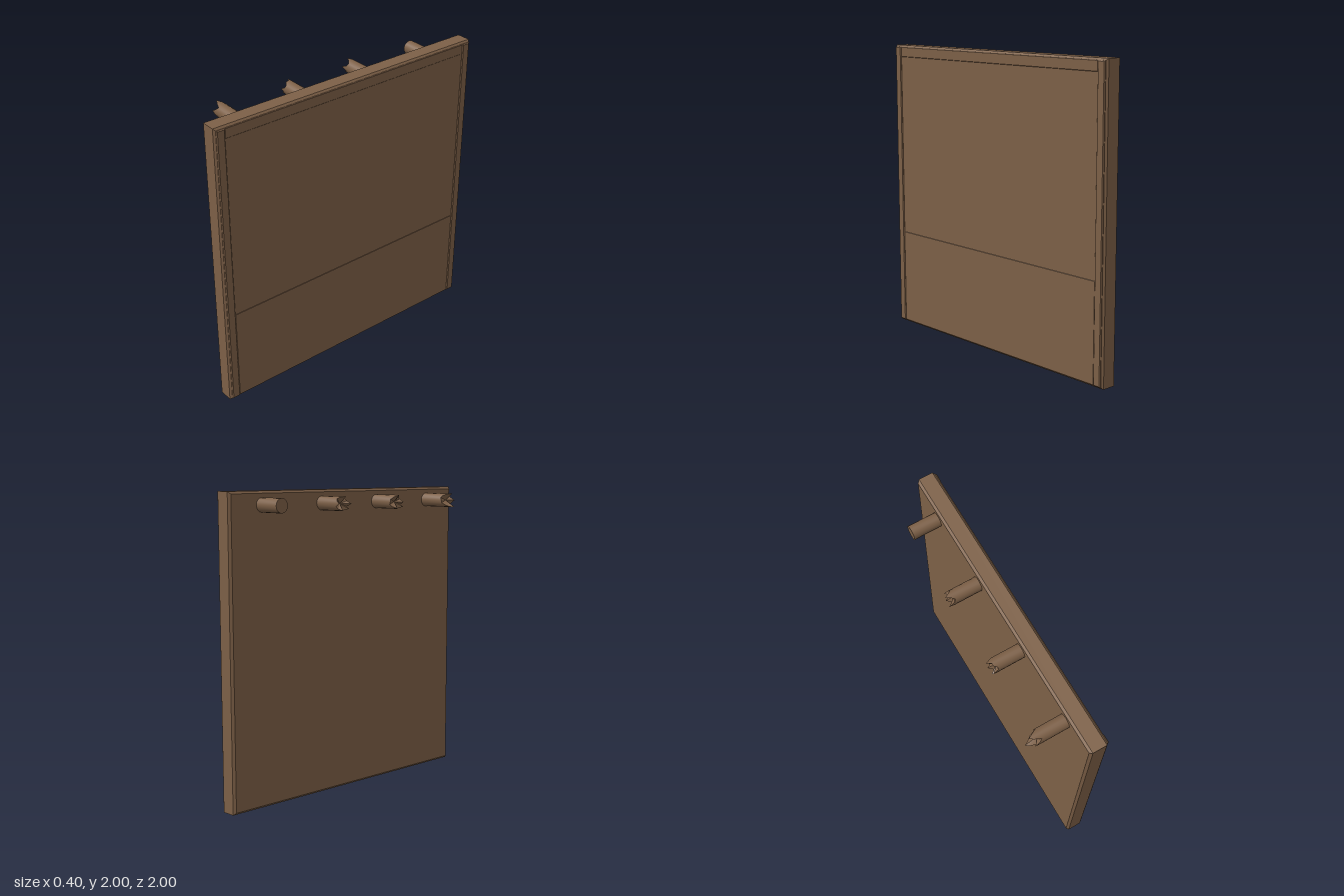
import * as THREE from 'three';
import { toCreasedNormals } from 'three/addons/utils/BufferGeometryUtils.js';

const wood = new THREE.MeshStandardMaterial({ color: 0x7d6047 });
wood.name = 'brown wood';

// Chamfered block spanning the given x, y and z ranges
function block(name, x0, x1, y0, y1, z0, z1, bevel) {
  const a = z0 + bevel, b = z1 - bevel, c = y0 + bevel, d = y1 - bevel;
  const shape = new THREE.Shape([
    new THREE.Vector2(-b, c), new THREE.Vector2(-a, c),
    new THREE.Vector2(-a, d), new THREE.Vector2(-b, d),
  ]);
  const geo = new THREE.ExtrudeGeometry(shape, {
    depth: x1 - x0 - 2 * bevel, bevelEnabled: true,
    bevelSize: bevel, bevelThickness: bevel, bevelSegments: 1,
  });
  geo.rotateY(Math.PI / 2);
  geo.translate(x0 + bevel, 0, 0);
  const mesh = new THREE.Mesh(geo, wood);
  mesh.name = name;
  return mesh;
}

// Round peg pointing to -x; reach gives the end position around the rim,
// starting at +z and turning upward; core is the middle of the broken end
function peg(name, z, reach, core) {
  const sides = 16, radius = 0.046, root = 0.08;
  let geo = new THREE.CylinderGeometry(radius, radius, 1, sides);
  geo.rotateZ(Math.PI / 2);
  const p = geo.attributes.position;
  for (let i = 0; i < p.count; i++) {
    const y = p.getY(i), zz = p.getZ(i);
    if (p.getX(i) > 0) { p.setX(i, root); continue; }
    const step = Math.round(Math.atan2(y, zz) / (2 * Math.PI) * sides);
    const k = (step + sides) % sides;
    p.setX(i, Math.hypot(y, zz) < 0.01 ? core : reach[k % reach.length]);
  }
  geo = toCreasedNormals(geo, 0.6);
  const mesh = new THREE.Mesh(geo, wood);
  mesh.name = name;
  mesh.position.set(0, 1.914, z);
  return mesh;
}

export function createModel() {
  const group = new THREE.Group();
  group.name = 'woodenPanel';

  // Main slab
  group.add(block('slab', 0.065, 0.188, 0, 2, -1, 1, 0.015));

  // Raised border on the +x face
  for (const s of [-1, 1]) {
    const [a, b] = s > 0 ? [0.93, 0.988] : [-0.988, -0.93];
    group.add(block(s > 0 ? 'frontStile' : 'backStile', 0.175, 0.195, 0.012, 1.988, a, b, 0.006));
  }
  group.add(block('topRail', 0.175, 0.191, 1.92, 1.988, -0.93, 0.93, 0.003));

  // Lower board, barely proud of the slab
  group.add(block('lowerBoard', 0.175, 0.19, 0.014, 0.67, -0.93, 0.93, 0.002));

  // Pegs on the -x face: one cut clean, three splintered
  group.add(peg('cleanPeg', -0.745, [-0.12], -0.12));
  group.add(peg('splinteredPegA', -0.25,
    [-0.16, -0.12, -0.11, -0.13, -0.16, -0.13, -0.11, -0.12,
      -0.145, -0.11, -0.12, -0.15, -0.13, -0.11, -0.15, -0.12], -0.1));
  group.add(peg('splinteredPegB', 0.245,
    [-0.145, -0.11, -0.11, -0.13, -0.13, -0.16, -0.13, -0.11,
      -0.11, -0.1, -0.12, -0.15, -0.13, -0.11, -0.15, -0.12], -0.1));
  group.add(peg('splinteredPegC', 0.74,
    [-0.16, -0.13, -0.11, -0.15, -0.18, -0.15, -0.12, -0.11,
      -0.12, -0.12, -0.15, -0.17, -0.2, -0.18, -0.13, -0.14], -0.12));

  return group;
}
